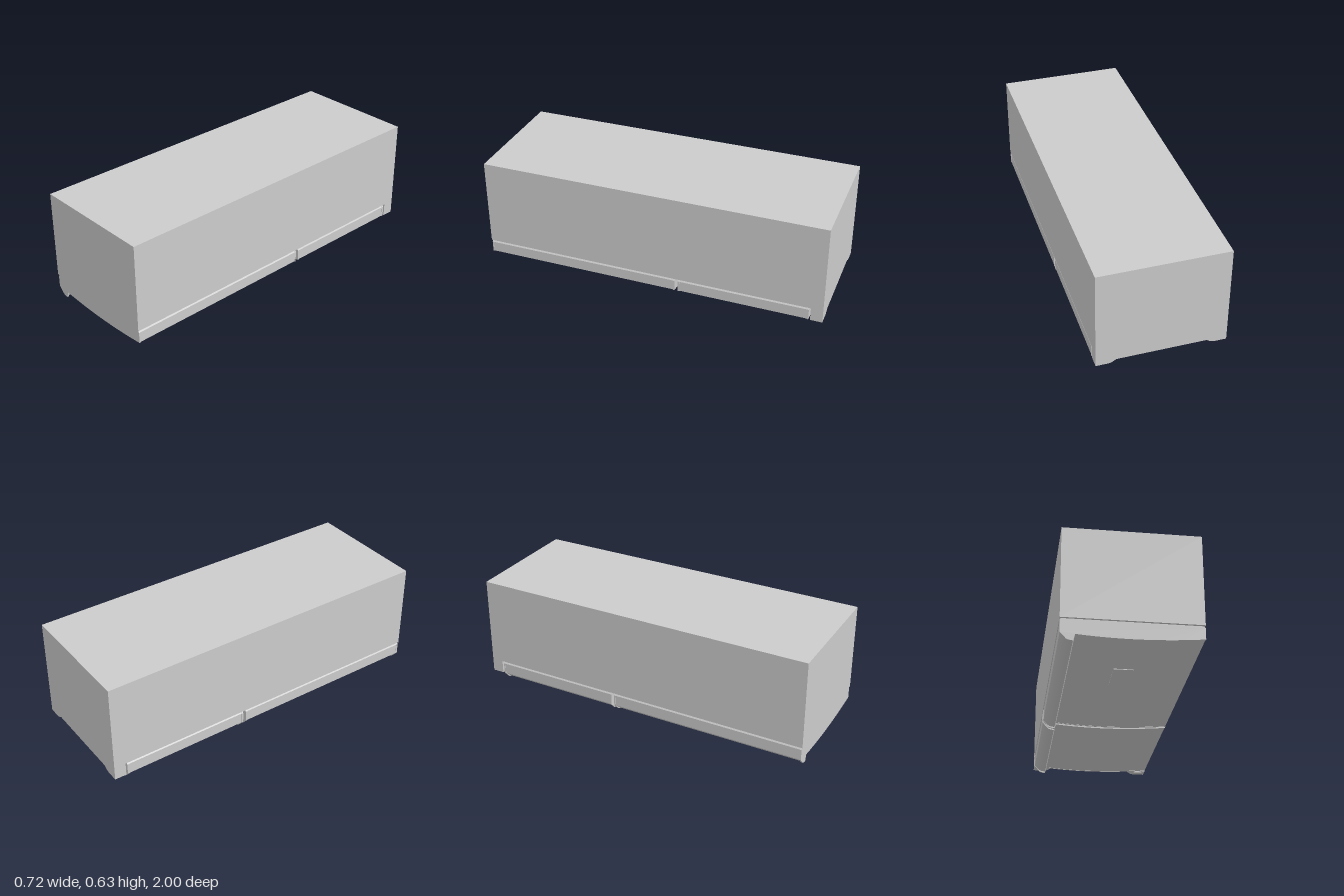
import * as THREE from 'three';
import { toCreasedNormals } from 'three/addons/utils/BufferGeometryUtils.js';

const HALF = 0.36; // half width of the cabinet

export function createModel() {
  const group = new THREE.Group();
  const material = new THREE.MeshStandardMaterial({ color: 0xcccccc });

  function add(name, geometry) {
    const mesh = new THREE.Mesh(geometry, material);
    mesh.name = name;
    group.add(mesh);
    return mesh;
  }

  // Box given by its limits on each axis
  function box(name, x0, x1, y0, y1, z0, z1) {
    const mesh = add(name, new THREE.BoxGeometry(x1 - x0, y1 - y0, z1 - z0));
    mesh.position.set((x0 + x1) / 2, (y0 + y1) / 2, (z0 + z1) / 2);
    return mesh;
  }

  // Cross-section in x and y, drawn out from z0 to z1
  function extrude(name, shape, z0, z1) {
    const geometry = new THREE.ExtrudeGeometry(shape, {
      depth: z1 - z0, bevelEnabled: false, curveSegments: 24,
    });
    geometry.translate(0, 0, z0);
    return add(name, toCreasedNormals(geometry, 0.5));
  }

  // Bowed door section with a grip lip along the -x edge
  function doorShape(side, top, lipY, bow) {
    const s = new THREE.Shape();
    s.moveTo(side, top - 0.008);
    s.lineTo(side - 0.006, top);
    s.lineTo(-side + 0.006, top);
    s.lineTo(-side, top - 0.008);
    s.lineTo(-side, 0.045);
    s.lineTo(-0.327, lipY + 0.008);
    s.quadraticCurveTo(-0.315, lipY + 0.002, -0.292, lipY);
    s.lineTo(-0.283, 0.036 + bow);
    s.quadraticCurveTo(0.03, 0.009 + bow, side, 0.046 + bow);
    s.closePath();
    return s;
  }

  // Cabinet
  box('cabinet', -HALF, HALF, 0.122, 0.632, -1, 1);

  // Base block behind the doors' lower end, with a shallow recess
  const base = new THREE.Shape();
  base.moveTo(-HALF, 0.122);
  base.lineTo(-HALF, 0.045);
  base.lineTo(-0.29, 0.045);
  base.quadraticCurveTo(-0.27, 0.047, -0.25, 0.064);
  base.lineTo(0.25, 0.064);
  base.quadraticCurveTo(0.27, 0.047, 0.29, 0.045);
  base.lineTo(HALF, 0.045);
  base.lineTo(HALF, 0.122);
  base.closePath();
  extrude('baseBlock', base, -1, -0.932);

  // Hinge feet under the base block
  for (const side of [-1, 1]) {
    const x = side * 0.315;
    box('hingeFoot', x - 0.025, x + 0.025, 0.036, 0.05, -0.96, -0.934);
  }

  // Two doors, each with a gasket and an end cap at both ends
  const doors = [
    ['upperDoor', -0.151, 0.996],
    ['lowerDoor', -0.922, -0.169],
  ];
  const cap = 0.01;
  for (const [name, z0, z1] of doors) {
    extrude(name, doorShape(HALF - 0.002, 0.116, 0.008, 0.0015), z0 + cap, z1 - cap);
    extrude(name + 'EndCap', doorShape(HALF, 0.117, 0, 0), z0, z0 + cap);
    extrude(name + 'EndCap', doorShape(HALF, 0.117, 0, 0), z1 - cap, z1);
    box(name + 'Gasket', -HALF + 0.008, HALF - 0.008, 0.11, 0.125, z0 + 0.008, z1 - 0.008);
  }

  // Control panel on the upper door
  box('controlPanel', -0.052, 0.052, 0.0225, 0.035, 0.45, 0.65);

  return group;
}
